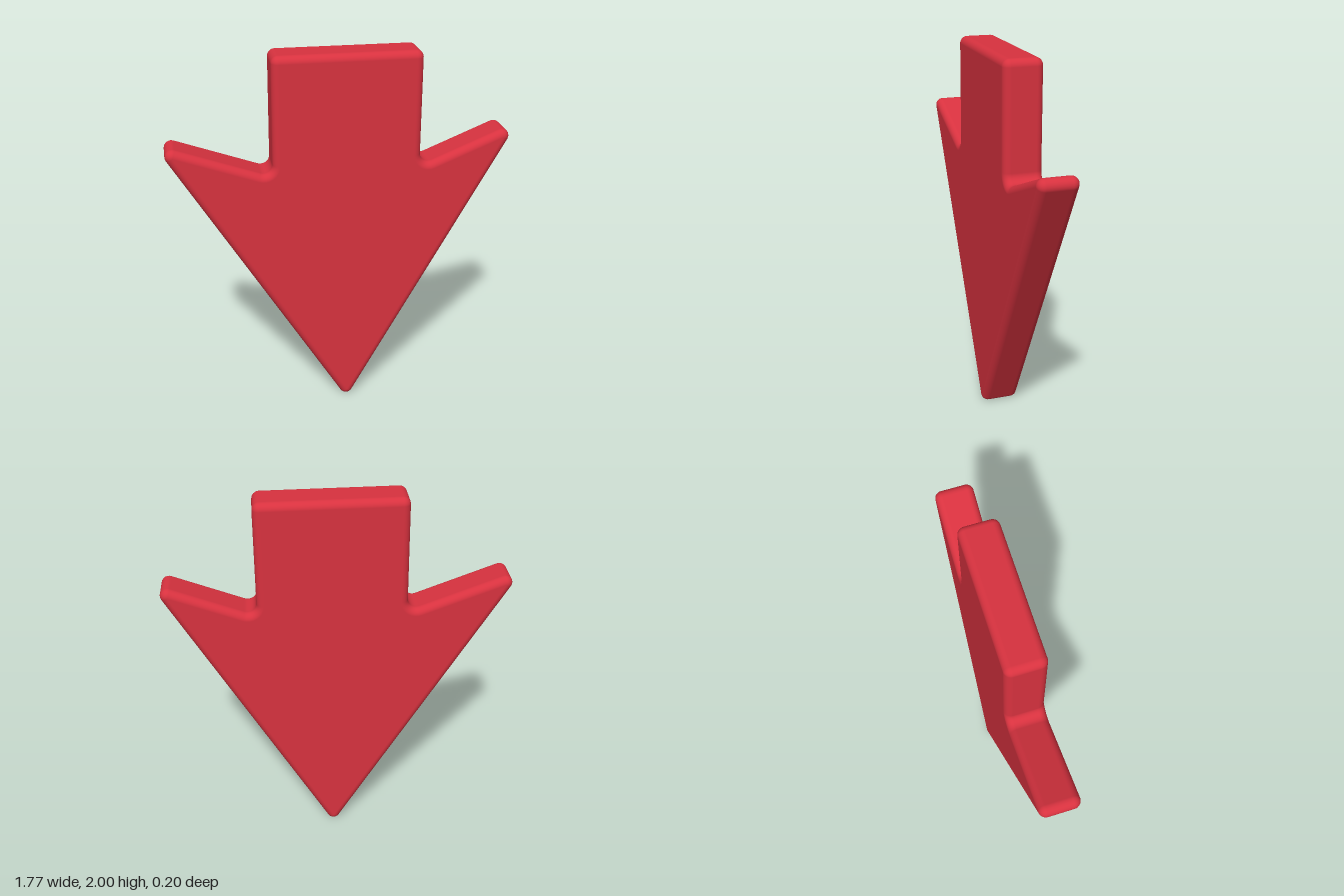
import * as THREE from 'three';

const EDGE = 0.038;   // rounding radius of every outer edge
const HALF = 0.102;   // half thickness
const FILLET = 0.083; // core radius of the two inner notches

// Core outline, counter-clockwise; the rounded edge grows outward from it
const CORE = [
  [0.024, 0.04],                  // bottom point
  [0.847, 1.514],                 // left barb
  [0.372, 1.325],                 // left notch
  [0.372, 1.957], [-0.314, 1.962], // shaft end
  [-0.322, 1.322],                // right notch
  [-0.852, 1.518],                // right barb
].map(([x, y]) => new THREE.Vector2(x, y));

// Points with outward normals: fans at outer corners, arcs in the notches
function roundedOutline(corners, steps = 8) {
  const out = [];
  corners.forEach((v, i) => {
    const n = corners.length;
    const dIn = v.clone().sub(corners[(i + n - 1) % n]).normalize();
    const dOut = corners[(i + 1) % n].clone().sub(v).normalize();
    const turn = Math.atan2(dIn.cross(dOut), dIn.dot(dOut));
    const R = turn < 0 ? FILLET : 0;
    const start = Math.atan2(-dIn.x, dIn.y);
    const centre = v.clone()
      .addScaledVector(dIn, -R * Math.tan(Math.abs(turn) / 2))
      .add(new THREE.Vector2(Math.cos(start), Math.sin(start)).multiplyScalar(R));
    for (let k = 0; k <= steps; k++) {
      const a = start + turn * k / steps;
      const normal = new THREE.Vector2(Math.cos(a), Math.sin(a));
      out.push({
        p: centre.clone().addScaledVector(normal, -R),
        normal,
        unique: R > 0 || k === 0,
      });
    }
  });
  return out;
}

function roundedSlab(corners) {
  const outline = roundedOutline(corners);
  const count = outline.length, steps = 8, rings = 2 * (steps + 1);
  const position = [], normals = [], index = [];

  // Rings from the back face, round the rim, to the front face
  for (let j = 0; j < rings; j++) {
    const front = j > steps;
    const phi = (front ? j - steps - 1 : j - steps) / steps * Math.PI / 2;
    const c = Math.cos(phi), s = Math.sin(phi);
    const z = (front ? 1 : -1) * (HALF - EDGE) + EDGE * s;
    for (const { p, normal } of outline) {
      position.push(p.x + normal.x * EDGE * c, p.y + normal.y * EDGE * c, z);
      normals.push(normal.x * c, normal.y * c, s);
    }
  }
  for (let j = 0; j < rings - 1; j++) {
    for (let i = 0; i < count; i++) {
      const a = j * count + i, b = j * count + (i + 1) % count;
      index.push(a, b, b + count, a, b + count, a + count);
    }
  }

  // Flat front and back faces
  const ids = outline.map((o, i) => i).filter(i => outline[i].unique);
  const top = (rings - 1) * count;
  for (const [a, b, c] of THREE.ShapeUtils.triangulateShape(ids.map(i => outline[i].p), [])) {
    index.push(top + ids[a], top + ids[b], top + ids[c], ids[a], ids[c], ids[b]);
  }

  const geometry = new THREE.BufferGeometry();
  geometry.setAttribute('position', new THREE.Float32BufferAttribute(position, 3));
  geometry.setAttribute('normal', new THREE.Float32BufferAttribute(normals, 3));
  geometry.setIndex(index);
  return geometry;
}

export function createModel() {
  const group = new THREE.Group();
  group.name = 'downArrow';
  const arrow = new THREE.Mesh(
    roundedSlab(CORE),
    new THREE.MeshStandardMaterial({ color: 0xd8323f }),
  );
  arrow.name = 'arrowBody';
  group.add(arrow);
  return group;
}
